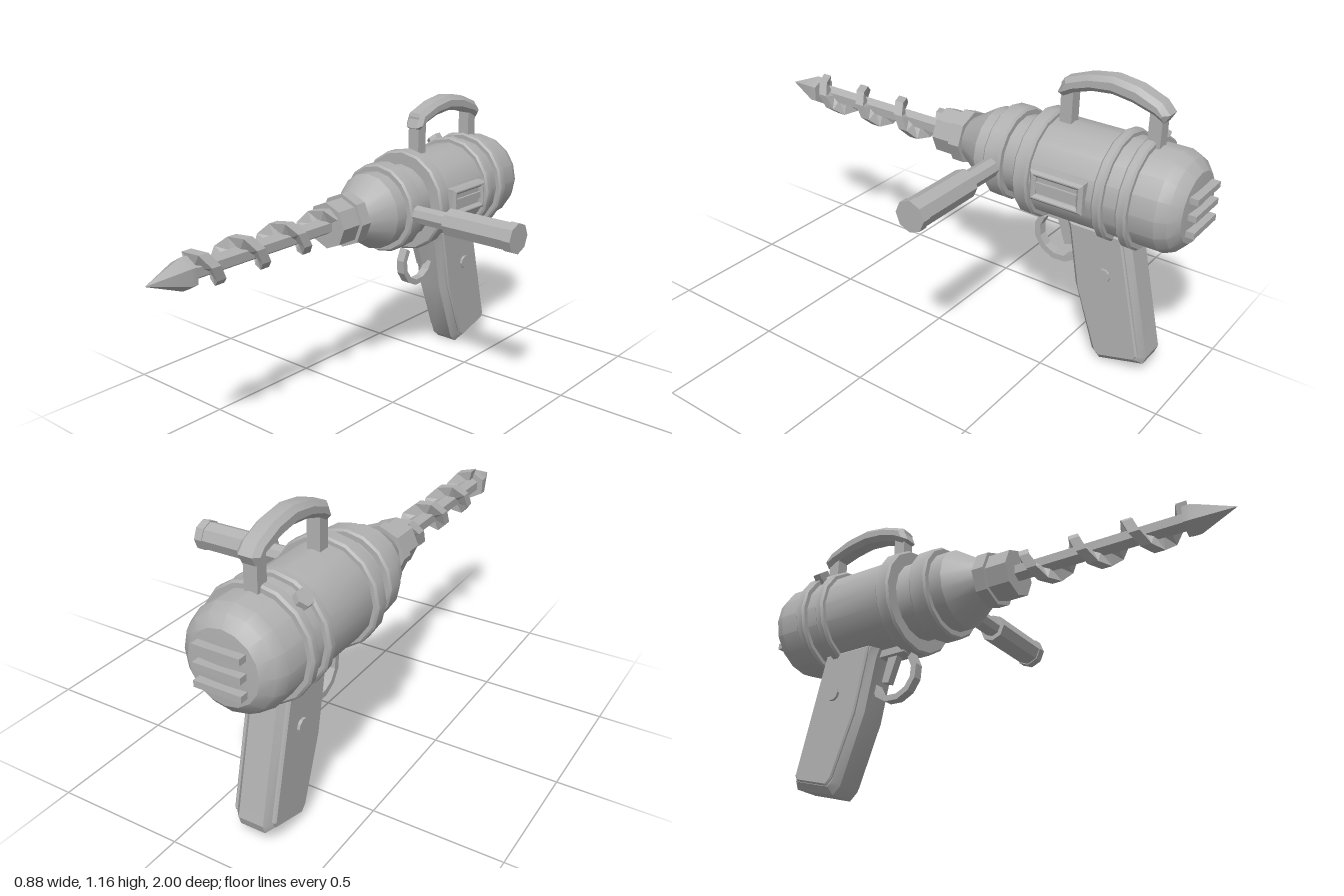
import * as THREE from 'three';
import { toCreasedNormals } from 'three/addons/utils/BufferGeometryUtils.js';

const AX = -0.225, AY = 0.755; // barrel axis

export function createModel() {
  const model = new THREE.Group();
  const grey = new THREE.MeshStandardMaterial({ color: 0xb0b0b0 });
  grey.name = 'plain grey';

  const add = (name, geo, x = 0, y = 0, z = 0, crease = 0.5) => {
    const mesh = new THREE.Mesh(toCreasedNormals(geo, crease), grey);
    mesh.name = name;
    mesh.position.set(x, y, z);
    model.add(mesh);
    return mesh;
  };
  // Turned part along z; profile is [z, radius] from back to front
  const turned = (name, profile, sides, crease) => {
    const geo = new THREE.LatheGeometry(profile.map(([z, r]) => new THREE.Vector2(r, z)), sides);
    return add(name, geo.rotateX(Math.PI / 2), AX, AY, 0, crease);
  };
  // Side outline in [z, y], thickened evenly across x
  const slab = (name, pts, half, bevel = 0) => {
    const shape = new THREE.Shape(pts.map(([z, y]) => new THREE.Vector2(z, y)));
    const depth = 2 * (half - bevel);
    const geo = new THREE.ExtrudeGeometry(shape, {
      depth, bevelEnabled: bevel > 0, bevelThickness: bevel, bevelSize: bevel, bevelOffset: -bevel, bevelSegments: 1,
    });
    geo.translate(0, 0, -depth / 2).rotateY(-Math.PI / 2);
    return add(name, geo, AX);
  };
  const rodX = (name, r, x0, x1, y, z, sides) =>
    add(name, new THREE.CylinderGeometry(r, r, x1 - x0, sides).rotateZ(Math.PI / 2), (x0 + x1) / 2, y, z);

  // Motor housing with rounded back and tapered nose
  turned('housing', [
    [-0.975, 0], [-0.965, 0.135], [-0.93, 0.175], [-0.89, 0.193], [-0.38, 0.193],
    [-0.35, 0.158], [-0.115, 0.158], [0, 0.085], [0, 0],
  ], 16);
  // Raised bands: back, front, radius
  [[-0.795, -0.752, 0.218], [-0.695, -0.655, 0.215], [-0.388, -0.325, 0.215], [-0.248, -0.17, 0.186]]
    .forEach(([a, b, r]) => turned('band', [
      [a, 0.1], [a, r - 0.008], [a + 0.008, r], [b - 0.008, r], [b, r - 0.008], [b, 0.1],
    ], 16));

  // Chuck
  turned('chuckCollar', [[-0.005, 0], [-0.005, 0.11], [0.045, 0.11], [0.045, 0]], 8);
  turned('chuck', [[0.04, 0], [0.04, 0.094], [0.135, 0.094], [0.135, 0]], 8);

  // Drill bit: shaft, tip and spiral flute
  turned('bitShaft', [[0.13, 0.035], [0.83, 0.035]], 6);
  turned('bitTip', [[0.82, 0], [0.82, 0.062], [0.848, 0.062], [1, 0]], 6);
  const pitch = 0.213, turns = 3.2;
  const flute = new THREE.BoxGeometry(1, 1, 1, 1, 1, 26);
  const p = flute.attributes.position;
  for (let i = 0; i < p.count; i++) {
    const r = p.getX(i) > 0 ? 0.076 : 0.024;
    const t = 0.5 - p.getZ(i);
    const z = 0.125 + t * turns * pitch;
    const a = ((z - 0.32) / pitch) * Math.PI * 2;
    p.setXYZ(i, r * Math.cos(a), r * Math.sin(a), z + p.getY(i) * 0.042);
  }
  add('spiralFlute', flute, AX, AY, 0, 0.1);

  // Vent bars on the back
  for (const dy of [-0.065, 0, 0.065])
    add('ventBar', new THREE.BoxGeometry(0.18, 0.024, 0.05), AX, AY + dy, -0.975);

  // Carrying handle
  for (const z of [-0.43, -0.785])
    add('handlePost', new THREE.BoxGeometry(0.052, 0.18, 0.05), AX, 1.01, z);
  slab('carryHandle', [
    [-0.39, 1.055], [-0.415, 1.115], [-0.51, 1.15], [-0.61, 1.165], [-0.71, 1.15], [-0.8, 1.113], [-0.835, 1.075],
    [-0.815, 1.04], [-0.775, 1.062], [-0.69, 1.088], [-0.61, 1.1], [-0.53, 1.092], [-0.46, 1.07], [-0.415, 1.045],
  ], 0.043, 0.018);

  // Side grip
  rodX('sideRod', 0.038, -0.1, 0.13, AY, -0.21, 8);
  rodX('sideGrip', 0.058, 0.12, 0.41, AY, -0.21, 8);
  rodX('sideGripCap', 0.062, 0.405, 0.44, AY, -0.21, 8);

  // Side plate with frame and slot bar
  const frame = new THREE.Shape();
  frame.moveTo(-0.11, -0.06).lineTo(0.11, -0.06).lineTo(0.11, 0.06).lineTo(-0.11, 0.06).closePath();
  const hole = new THREE.Path();
  hole.moveTo(-0.085, -0.035).lineTo(-0.085, 0.035).lineTo(0.085, 0.035).lineTo(0.085, -0.035).closePath();
  frame.holes.push(hole);
  const frameGeo = new THREE.ExtrudeGeometry(frame, {
    depth: 0.045, bevelThickness: 0.01, bevelSize: 0.01, bevelOffset: -0.01, bevelSegments: 1,
  });
  add('plateFrame', frameGeo.rotateY(Math.PI / 2), -0.058, AY + 0.005, -0.515);
  add('plateFloor', new THREE.BoxGeometry(0.04, 0.1, 0.2), -0.04, AY + 0.005, -0.515);
  add('plateBar', new THREE.BoxGeometry(0.05, 0.028, 0.17), -0.035, AY + 0.005, -0.515);

  // Knob on the upper right shoulder
  const knob = new THREE.Group();
  knob.name = 'knob';
  knob.position.set(AX, AY, -0.738);
  knob.rotation.z = 0.69;
  [[0.016, 0.06, 0.2], [0.034, 0.024, 0.225]].forEach(([r, h, y]) => {
    const part = add('knobPart', new THREE.CylinderGeometry(r, r, h, 6), 0, y, 0);
    knob.add(part);
  });
  model.add(knob);

  // Pistol grip with raised side panels
  slab('gripCore', [
    [-0.47, 0.6], [-0.495, 0.53], [-0.535, 0.31], [-0.63, 0.035], [-0.665, 0.003],
    [-0.85, 0.055], [-0.862, 0.09], [-0.75, 0.57], [-0.74, 0.62],
  ], 0.076, 0.026);
  slab('gripPanels', [
    [-0.51, 0.58], [-0.53, 0.47], [-0.56, 0.31], [-0.65, 0.06], [-0.675, 0.035],
    [-0.825, 0.077], [-0.838, 0.1], [-0.735, 0.54], [-0.725, 0.58],
  ], 0.086, 0.006);
  rodX('gripPin', 0.029, AX - 0.097, AX + 0.097, 0.405, -0.67, 10);

  // Trigger, its mount and the guard
  add('triggerMount', new THREE.BoxGeometry(0.07, 0.05, 0.14), AX, 0.565, -0.44);
  slab('trigger', [[-0.41, 0.56], [-0.455, 0.432], [-0.487, 0.44], [-0.457, 0.56]], 0.016);
  const guard = [];
  const steps = 7, from = 0.7, to = -2.9;
  for (let i = 0; i <= steps; i++) guard.push([0.113, from + ((to - from) * i) / steps]);
  for (let i = steps; i >= 0; i--) guard.push([0.088, from + ((to - from) * i) / steps]);
  slab('triggerGuard', guard.map(([r, a]) => [-0.43 + r * Math.cos(a), 0.462 + r * Math.sin(a)]), 0.019);

  return model;
}
